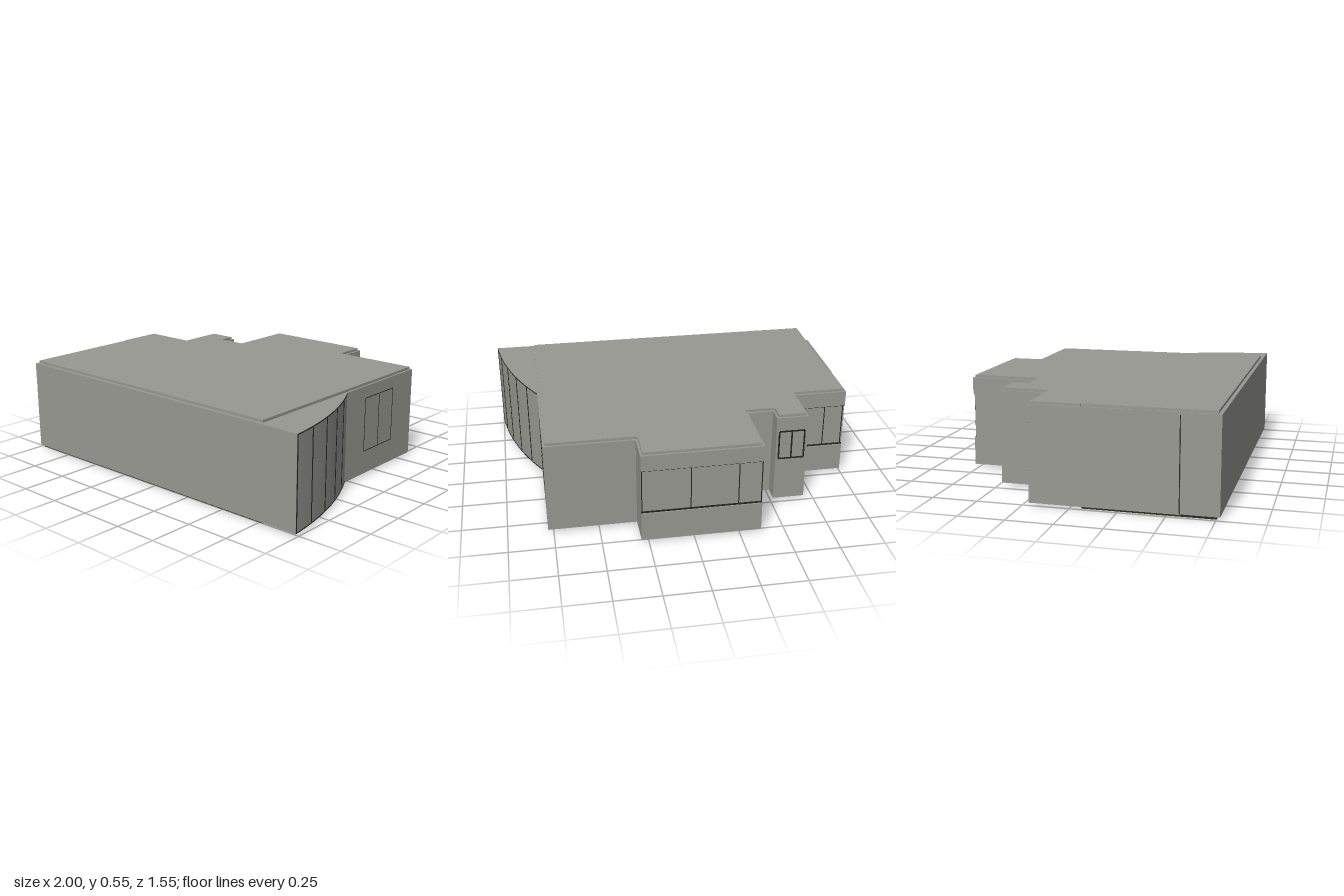
import * as THREE from 'three';

export function createModel() {
  const model = new THREE.Group();
  model.name = 'apartmentBlock';
  const mat = (name, color) => {
    const m = new THREE.MeshStandardMaterial({ color });
    m.name = name;
    return m;
  };
  const plaster = mat('warmGreyPlaster', 0x999992);
  const dark = mat('darkFrame', 0x24241f);
  const slab = mat('blackSlab', 0x2a2a22);
  const wood = mat('brownFloor', 0x544a40);
  const tile = mat('greyTile', 0x7c7c7a);

  // Extrudes a plan given as [x, z] points between two heights
  const prism = (name, points, y0, y1, material) => {
    const shape = new THREE.Shape(points.map(([x, z]) => new THREE.Vector2(x, -z)));
    const geo = new THREE.ExtrudeGeometry(shape, { depth: y1 - y0, bevelEnabled: false });
    geo.rotateX(-Math.PI / 2);
    const mesh = new THREE.Mesh(geo, material);
    mesh.position.y = y0;
    mesh.name = name;
    model.add(mesh);
    return mesh;
  };
  const box = (name, w, h, d, x, y, z, material) => {
    const mesh = new THREE.Mesh(new THREE.BoxGeometry(w, h, d), material);
    mesh.position.set(x, y, z);
    mesh.name = name;
    model.add(mesh);
    return mesh;
  };

  // Curved front corner, seen in plan
  const arc = new THREE.QuadraticBezierCurve3(
    new THREE.Vector3(0.78, 0, 0.06),
    new THREE.Vector3(0.96, 0, 0.385),
    new THREE.Vector3(0.997, 0, 0.77)
  );
  const arcPoints = arc.getPoints(28).map((p) => [p.x, p.z]);

  // Stepped back edge; e insets every wall, r sets back the glazed walls
  const backEdge = (e, r = 0) => [
    [-1 + e, -0.215 + e + r], [-0.695 + e, -0.215 + e + r],
    [-0.695 + e, -0.48 + e], [-0.515 - e, -0.48 + e],
    [-0.515 - e, -0.39 + e], [-0.37 + e, -0.39 + e],
    [-0.37 + e, -0.775 + e + r], [0.29 - e, -0.775 + e + r],
    [0.29 - e, -0.595 + e], [0.78 - e, -0.595 + e],
  ];
  const wallPlan = (r) => [
    ...backEdge(0, r), ...arcPoints, [-0.99, 0.77], [-0.99, 0.57], [-1, 0.57],
  ];

  // Walls in three bands, the middle one recessed at the back windows
  prism('lowerWalls', wallPlan(0), 0.015, 0.18, plaster);
  prism('windowBandWalls', wallPlan(0.009), 0.18, 0.44, plaster);
  prism('upperWalls', wallPlan(0), 0.44, 0.53, plaster);

  // Roof slab
  prism('roof', [...backEdge(0.012), [0.77, 0.75], [-0.98, 0.75], [-0.98, 0.06], [-0.988, 0.06]],
    0.53, 0.545, plaster);

  // Underside: floors and front slab
  prism('woodFloor', [
    ...backEdge(0.02), ...arcPoints.map(([x, z]) => [x - 0.02, z]).filter((p) => p[1] < 0.75),
    [0.96, 0.75], [-0.97, 0.75],
  ], 0.011, 0.015, wood);
  prism('tileFloor', [
    [-0.675, -0.46], [-0.535, -0.46], [-0.535, -0.37], [-0.37, -0.37],
    [-0.24, -0.3], [-0.24, -0.08], [-0.675, -0.08],
  ], 0.009, 0.0112, tile);
  prism('frontSlab', [[-0.98, 0.06], [0.77, 0.06], [0.77, 0.75], [-0.98, 0.75]], 0, 0.015, slab);

  // Wide back windows: sill, head and mullion lines on the recessed wall
  const backWindow = (x0, x1, z, mullions) => {
    const w = x1 - x0;
    const cx = (x0 + x1) / 2;
    box('windowSill', w, 0.01, 0.004, cx, 0.185, z, dark);
    box('windowHead', w, 0.006, 0.004, cx, 0.437, z, dark);
    for (const x of mullions) box('windowMullion', 0.005, 0.26, 0.004, x, 0.31, z, dark);
  };
  backWindow(-0.37, 0.29, -0.766, [-0.365, -0.24, 0.02, 0.285]);
  backWindow(-1, -0.695, -0.206, [-0.99, -0.88, -0.72]);

  // Framed rectangle made of thin bars; side frames face along x
  const frame = (name, w, h, t, divisions, x, y, z, turn) => {
    const group = new THREE.Group();
    group.name = name;
    const bar = (bw, bh, bx, by) => {
      const mesh = new THREE.Mesh(new THREE.BoxGeometry(bw, bh, 0.004), dark);
      mesh.position.set(bx, by, 0);
      mesh.name = 'frameBar';
      group.add(mesh);
    };
    for (const s of [-1, 1]) bar(w, t, 0, s * h / 2);
    for (let i = 0; i <= divisions; i++) bar(t, h, -w / 2 + (w * i) / divisions, 0);
    group.position.set(x, y, z);
    group.rotation.y = turn;
    model.add(group);
  };
  frame('smallBackWindow', 0.145, 0.17, 0.009, 2, -0.605, 0.36, -0.48, 0);
  frame('rightWindow', 0.275, 0.31, 0.004, 2, 0.779, 0.305, -0.255, Math.PI / 2);

  // Curved glazing: rails and uprights
  for (const y of [0.019, 0.525]) {
    const path = new THREE.CatmullRomCurve3(arc.getPoints(16).map((p) => p.clone().setY(y)));
    const rail = new THREE.Mesh(new THREE.TubeGeometry(path, 32, 0.003, 6), dark);
    rail.name = 'curvedRail';
    model.add(rail);
  }
  for (const z of [0.17, 0.31, 0.46, 0.62, 0.765]) {
    let t = 0;
    while (t < 1 && arc.getPoint(t).z < z) t += 0.002;
    const p = arc.getPoint(t);
    const d = arc.getTangent(t);
    const post = box('curvedGlazingPost', 0.006, 0.505, 0.005, p.x, 0.273, Math.min(p.z, 0.767), dark);
    post.rotation.y = Math.atan2(d.x, d.z);
  }

  // Left wall joint and the thin head strip above it
  box('leftWallJoint', 0.004, 0.5, 0.004, -0.999, 0.27, 0.568, dark);
  box('leftHeadStrip', 0.008, 0.006, 0.5, -0.997, 0.53, 0.315, plaster);

  return model;
}
